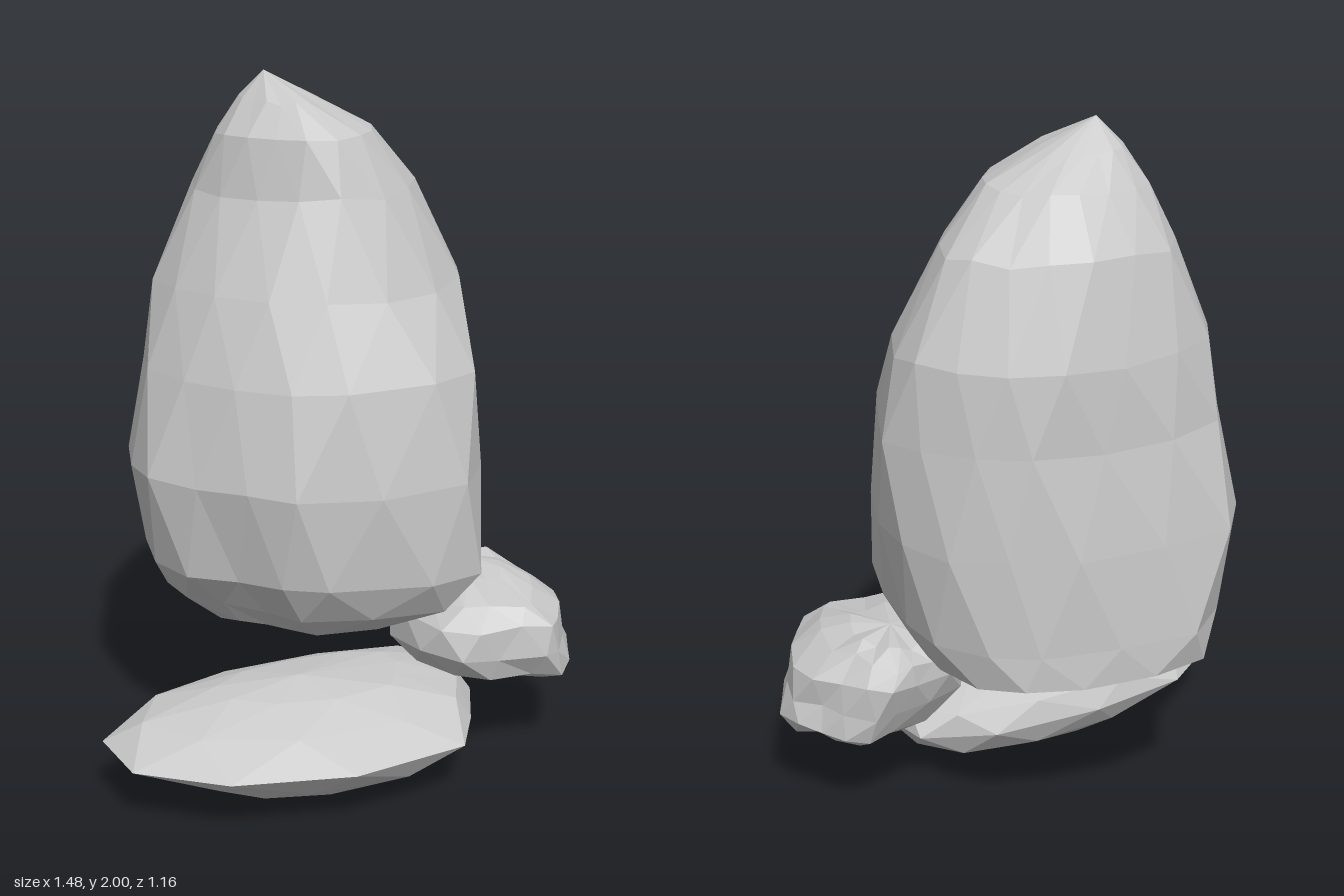
import * as THREE from 'three';

// Small seeded generator for the chipped surface
function seeded(seed) {
  let s = seed;
  return () => {
    s = (s * 16807) % 2147483647;
    return s / 2147483647;
  };
}

// Scale a plan outline to fill the -1..1 square
function normalise(plan) {
  const axes = [0, 1].map(a => {
    const v = plan.map(p => p[a]);
    const lo = Math.min(...v), hi = Math.max(...v);
    return t => (2 * t - lo - hi) / (hi - lo);
  });
  return plan.map(p => [axes[0](p[0]), axes[1](p[1])]);
}

// Points halfway along a smooth curve through the outline
function halfStep(plan) {
  const n = plan.length;
  return plan.map((p, i) => {
    const [a, c, d] = [plan[(i + n - 1) % n], plan[(i + 1) % n], plan[(i + 2) % n]];
    return [0, 1].map(k => (9 * (p[k] + c[k]) - a[k] - d[k]) / 16);
  });
}

// Stone whose plan changes from base to crown outline (clockwise from above),
// fitted into rings [y, xMin, xMax, zMin, zMax, crownShare] from bottom to top.
function stone({ base, crown = base, rings, bottom, top, chip, seed }) {
  const rand = seeded(seed);
  const n = base.length;
  const positions = [];
  const index = [];
  const lower = normalise(base), upper = normalise(crown);

  rings.forEach(([y, x0, x1, z0, z1, share = 0], r) => {
    const mix = lower.map((p, i) => [0, 1].map(k => p[k] + (upper[i][k] - p[k]) * share));
    // odd rings are staggered by half a step so the facets interlock
    const plan = normalise(r % 2 ? halfStep(mix) : mix);
    for (const [px, pz] of plan) {
      const k = 1 + (rand() - 0.6) * chip;
      positions.push(
        (x0 + x1) / 2 + px * k * (x1 - x0) / 2,
        y + (rand() - 0.5) * chip * 0.4,
        (z0 + z1) / 2 + pz * k * (z1 - z0) / 2);
    }
  });

  const bottomId = rings.length * n, topId = bottomId + 1;
  positions.push(...bottom, ...top);
  const last = (rings.length - 1) * n;
  for (let i = 0; i < n; i++) {
    const j = (i + 1) % n;
    // with an odd or even last ring the caps are simple fans
    index.push(i, j, bottomId, last + j, last + i, topId);
    for (let r = 0; r < rings.length - 1; r++) {
      const l = r * n, u = l + n;
      if (r % 2 === 0) index.push(l + j, l + i, u + i, u + i, u + j, l + j);
      else index.push(u + i, u + j, l + i, l + j, l + i, u + j);
    }
  }
  const g = new THREE.BufferGeometry();
  g.setAttribute('position', new THREE.Float32BufferAttribute(positions, 3));
  g.setIndex(index);
  g.computeVertexNormals();
  return g;
}

export function createModel() {
  const group = new THREE.Group();
  const grey = new THREE.MeshStandardMaterial({ color: 0xcacaca, flatShading: true });
  grey.name = 'stone grey';

  const add = (name, options) => {
    const mesh = new THREE.Mesh(stone(options), grey);
    mesh.name = name;
    group.add(mesh);
  };

  // Tall standing boulder, slimmer at the front left towards its crown
  add('tallBoulder', {
    base: [[-0.26, -0.59], [0, -0.58], [0.25, -0.53], [0.38, -0.45], [0.48, -0.3], [0.51, -0.15],
      [0.45, 0.07], [0.36, 0.32], [0.18, 0.38], [-0.16, 0.33], [-0.28, 0.25], [-0.38, 0.13],
      [-0.5, 0.02], [-0.55, -0.13], [-0.52, -0.3], [-0.44, -0.48]],
    crown: [[-0.3, -1], [0.1, -1], [0.45, -0.91], [0.7, -0.7], [0.9, -0.43], [1, -0.15],
      [0.9, 0.22], [0.67, 0.66], [0.32, 0.94], [-0.1, 1], [-0.42, 0.85], [-0.68, 0.55],
      [-0.9, 0.2], [-1, -0.2], [-0.92, -0.6], [-0.68, -0.87]],
    rings: [
      [0.42, -0.32, 0.25, -0.3, 0.2],
      [0.49, -0.43, 0.41, -0.58, 0.3],
      [0.6, -0.49, 0.47, -0.58, 0.38],
      [0.88, -0.55, 0.5, -0.58, 0.38, 0.15],
      [1.17, -0.5, 0.515, -0.54, 0.33, 0.6],
      [1.4, -0.43, 0.48, -0.53, 0.24, 1],
      [1.67, -0.32, 0.35, -0.46, 0.13, 1],
      [1.83, -0.26, 0.19, -0.37, 0.08, 1],
      [1.92, -0.19, 0.03, -0.29, -0.02, 1],
    ],
    bottom: [-0.12, 0.38, -0.08], top: [-0.12, 2, -0.19], chip: 0.045, seed: 17,
  });

  // Flat slab lying under the boulder
  add('flatSlab', {
    base: [[-0.74, 0.09], [-0.52, -0.07], [-0.2, -0.12], [0.15, -0.11], [0.36, -0.02], [0.39, 0.17],
      [0.3, 0.36], [0.2, 0.52], [-0.16, 0.58], [-0.5, 0.5], [-0.72, 0.32]],
    rings: [
      [0.035, -0.48, 0.12, 0, 0.42],
      [0.085, -0.59, 0.32, -0.08, 0.5],
      [0.16, -0.74, 0.39, -0.12, 0.58],
      [0.23, -0.64, 0.36, -0.1, 0.45],
      [0.28, -0.4, 0.16, 0.02, 0.33],
    ],
    bottom: [-0.17, 0, 0.21], top: [-0.17, 0.305, 0.18], chip: 0.008, seed: 5,
  });

  // Small stone resting beside them
  add('smallStone', {
    base: [[0.52, -0.2], [0.58, -0.19], [0.65, -0.11], [0.68, -0.03], [0.74, 0.06], [0.7, 0.2],
      [0.66, 0.29], [0.58, 0.4], [0.53, 0.42], [0.38, 0.39], [0.26, 0.38], [0.18, 0.25],
      [0.16, 0.06], [0.25, -0.1], [0.4, -0.17]],
    rings: [
      [0.24, 0.27, 0.71, -0.1, 0.33],
      [0.265, 0.22, 0.735, -0.14, 0.38],
      [0.34, 0.16, 0.72, -0.17, 0.42],
      [0.425, 0.17, 0.69, -0.2, 0.41],
      [0.485, 0.22, 0.61, -0.19, 0.36],
      [0.52, 0.31, 0.54, -0.13, 0.19],
    ],
    bottom: [0.48, 0.235, 0.12], top: [0.43, 0.535, 0.02], chip: 0.06, seed: 29,
  });

  return group;
}
